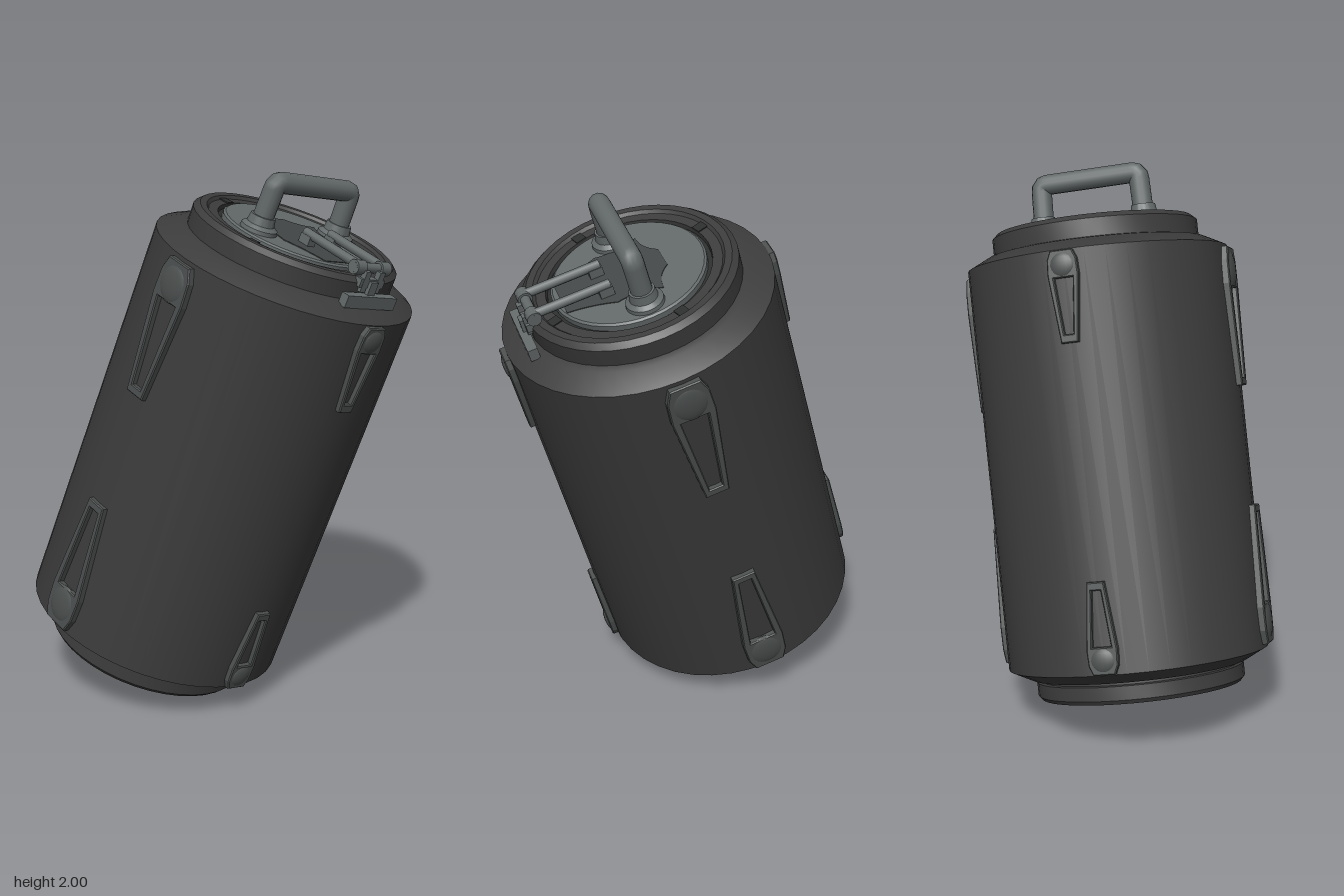
import * as THREE from 'three';
import { toCreasedNormals } from 'three/addons/utils/BufferGeometryUtils.js';

const flat = (name, color) => {
  const m = new THREE.MeshStandardMaterial({ color });
  m.name = name;
  return m;
};

export function createModel() {
  const casing = flat('casingDark', 0x3c3c3c);
  const groove = flat('grooveBlack', 0x2c2d2d);
  const frame = flat('bracketGrey', 0x4b4f4e);
  const metal = flat('metalGrey', 0x626868);
  const metalDark = flat('lidInsetGrey', 0x434646);

  const model = new THREE.Group();
  model.name = 'canister';
  // The whole canister leans to its left and back
  const can = new THREE.Group();
  can.name = 'leaningCanister';
  can.rotation.set(-0.157, -0.09, -0.3106, 'ZXY');
  can.position.y = 0.94;
  model.add(can);

  const add = (parent, name, geo, mat, x = 0, y = 0, z = 0) => {
    const m = new THREE.Mesh(geo, mat);
    m.name = name;
    m.position.set(x, y, z);
    parent.add(m);
    return m;
  };
  const lathe = (pts) => toCreasedNormals(
    new THREE.LatheGeometry(pts.map(p => new THREE.Vector2(...p)), 40), 0.45);

  // Casing with chamfered shoulders, foot ring and neck
  add(can, 'casing', lathe([
    [0, -0.8], [0.31, -0.8], [0.315, -0.865], [0.375, -0.865], [0.388, -0.85], [0.388, -0.8],
    [0.375, -0.797], [0.375, -0.785], [0.41, -0.785], [0.487, -0.745], [0.487, 0.745],
    [0.41, 0.785], [0.385, 0.79], [0.385, 0.855], [0.365, 0.873], [0.34, 0.873], [0.33, 0.862],
    [0.295, 0.862], [0.293, 0.84], [0, 0.84],
  ]), casing);
  add(can, 'baseDisc', new THREE.CylinderGeometry(0.308, 0.308, 0.008, 40), frame, 0, -0.802, 0);
  add(can, 'lidGroove', new THREE.CylinderGeometry(0.292, 0.292, 0.008, 40), groove, 0, 0.842, 0);

  // Dark notches around the neck
  for (let i = 0; i < 4; i++) {
    const a = 0.3 + i * Math.PI / 2;
    const n = add(can, 'neckNotch', new THREE.BoxGeometry(0.05, 0.008, 0.04), groove,
      0.318 * Math.cos(a), 0.862, -0.318 * Math.sin(a));
    n.rotation.y = a;
  }

  // Lid with a darker inset plate
  add(can, 'lid', lathe([[0.276, 0.84], [0.276, 0.866], [0.268, 0.872], [0, 0.872]]), metal);
  const inset = new THREE.Shape();
  inset.moveTo(-0.13, -0.05);
  inset.lineTo(-0.13, 0.05);
  inset.quadraticCurveTo(-0.08, 0.09, -0.08, 0.16);
  inset.quadraticCurveTo(0, 0.12, 0.08, 0.14);
  inset.quadraticCurveTo(0.16, 0.1, 0.25, 0.09);
  inset.lineTo(0.25, -0.09);
  inset.quadraticCurveTo(0.16, -0.1, 0.08, -0.14);
  inset.quadraticCurveTo(0, -0.12, -0.08, -0.16);
  inset.quadraticCurveTo(-0.08, -0.09, -0.13, -0.05);
  const insetGeo = new THREE.ExtrudeGeometry(inset, { depth: 0.005, bevelEnabled: false });
  insetGeo.rotateX(-Math.PI / 2);
  add(can, 'lidInset', insetGeo, metalDark, 0, 0.87, 0);

  // Carrying handle: bent tube on two flared feet
  const P = (y, z) => new THREE.Vector3(0, y, z);
  const bar = new THREE.CurvePath();
  bar.add(new THREE.LineCurve3(P(0.87, 0.195), P(1.03, 0.19)));
  bar.add(new THREE.QuadraticBezierCurve3(P(1.03, 0.19), P(1.052, 0.19), P(1.052, 0.165)));
  bar.add(new THREE.LineCurve3(P(1.052, 0.165), P(1.052, -0.165)));
  bar.add(new THREE.QuadraticBezierCurve3(P(1.052, -0.165), P(1.052, -0.19), P(1.03, -0.19)));
  bar.add(new THREE.LineCurve3(P(1.03, -0.19), P(0.87, -0.195)));
  add(can, 'handle', new THREE.TubeGeometry(bar, 60, 0.038, 14), metal);
  for (const s of [1, -1]) {
    add(can, 'handleFoot', lathe([[0.068, 0], [0.066, 0.018], [0.05, 0.03], [0.045, 0.06], [0, 0.06]]),
      metal, 0, 0.868, s * 0.195);
  }

  // Latch: two rods, hinge and pull bar hanging over the neck
  const latch = new THREE.Group();
  latch.name = 'latch';
  latch.position.z = -0.015;
  can.add(latch);
  const rod = (name, r, len, axis, x, y, z) => {
    const m = add(latch, name, new THREE.CylinderGeometry(r, r, len, 12), metal, x, y, z);
    if (axis === 'x') m.rotation.z = Math.PI / 2;
    if (axis === 'z') m.rotation.x = Math.PI / 2;
    return m;
  };
  for (const s of [1, -1]) {
    rod('latchRod', 0.017, 0.28, 'x', 0.22, 0.912, s * 0.062);
    add(latch, 'latchRodBlock', new THREE.BoxGeometry(0.05, 0.04, 0.035), metal, 0.1, 0.888, s * 0.062);
    rod('hingeKnuckle', 0.026, 0.045, 'z', 0.36, 0.905, s * 0.062);
    add(latch, 'hingeArm', new THREE.BoxGeometry(0.022, 0.075, 0.025), metal, 0.385, 0.865, s * 0.035);
  }
  rod('hingePin', 0.018, 0.17, 'z', 0.36, 0.905, 0);
  add(latch, 'hingePlate', new THREE.BoxGeometry(0.03, 0.03, 0.12), metal, 0.38, 0.86, 0);
  add(latch, 'pullStem', new THREE.BoxGeometry(0.025, 0.08, 0.035), metal, 0.395, 0.83, 0);
  add(latch, 'pullBar', new THREE.BoxGeometry(0.035, 0.045, 0.25), metal, 0.405, 0.8, 0);

  // Wall bracket: tapered slotted frame with a domed cap at the outer end
  const shapeOf = (pts, T = THREE.Shape) => new T(pts.map(p => new THREE.Vector2(...p)));
  const bracket = (len, w) => {
    const g = new THREE.Group();
    g.name = 'bracket';
    const y0 = -len;
    const cap = -len * 0.27;
    const outline = shapeOf([[-w * 0.55, y0], [w * 0.55, y0], [w, cap], [w * 0.95, -len * 0.1],
      [w * 0.7, 0], [-w * 0.7, 0], [-w * 0.95, -len * 0.1], [-w, cap]]);
    outline.holes.push(shapeOf([[-w * 0.3, y0 + 0.03], [-w * 0.62, cap - 0.01],
      [w * 0.62, cap - 0.01], [w * 0.3, y0 + 0.03]], THREE.Path));
    add(g, 'bracketFrame', new THREE.ExtrudeGeometry(outline, {
      depth: 0.028, bevelSize: 0.004, bevelThickness: 0.004, bevelOffset: -0.004, bevelSegments: 1,
    }), frame, 0, 0, -0.012);
    const dome = add(g, 'bracketCap', new THREE.SphereGeometry(1, 16, 10), frame, 0, -len * 0.16, 0.012);
    dome.scale.set(w * 0.86, len * 0.14, 0.017);
    return g;
  };
  for (let i = 0; i < 4; i++) {
    const side = new THREE.Group();
    side.name = ['frontBrackets', 'leftBrackets', 'backBrackets', 'rightBrackets'][i];
    side.rotation.y = i * Math.PI / 2;
    can.add(side);
    for (const s of [1, -1]) {
      const b = i % 2 ? bracket(0.325, 0.056) : bracket(0.51, 0.08);
      b.position.set(0, s * (i % 2 ? 0.742 : 0.73), 0.486);
      if (s < 0) b.rotation.z = Math.PI;
      side.add(b);
    }
  }
  return model;
}
